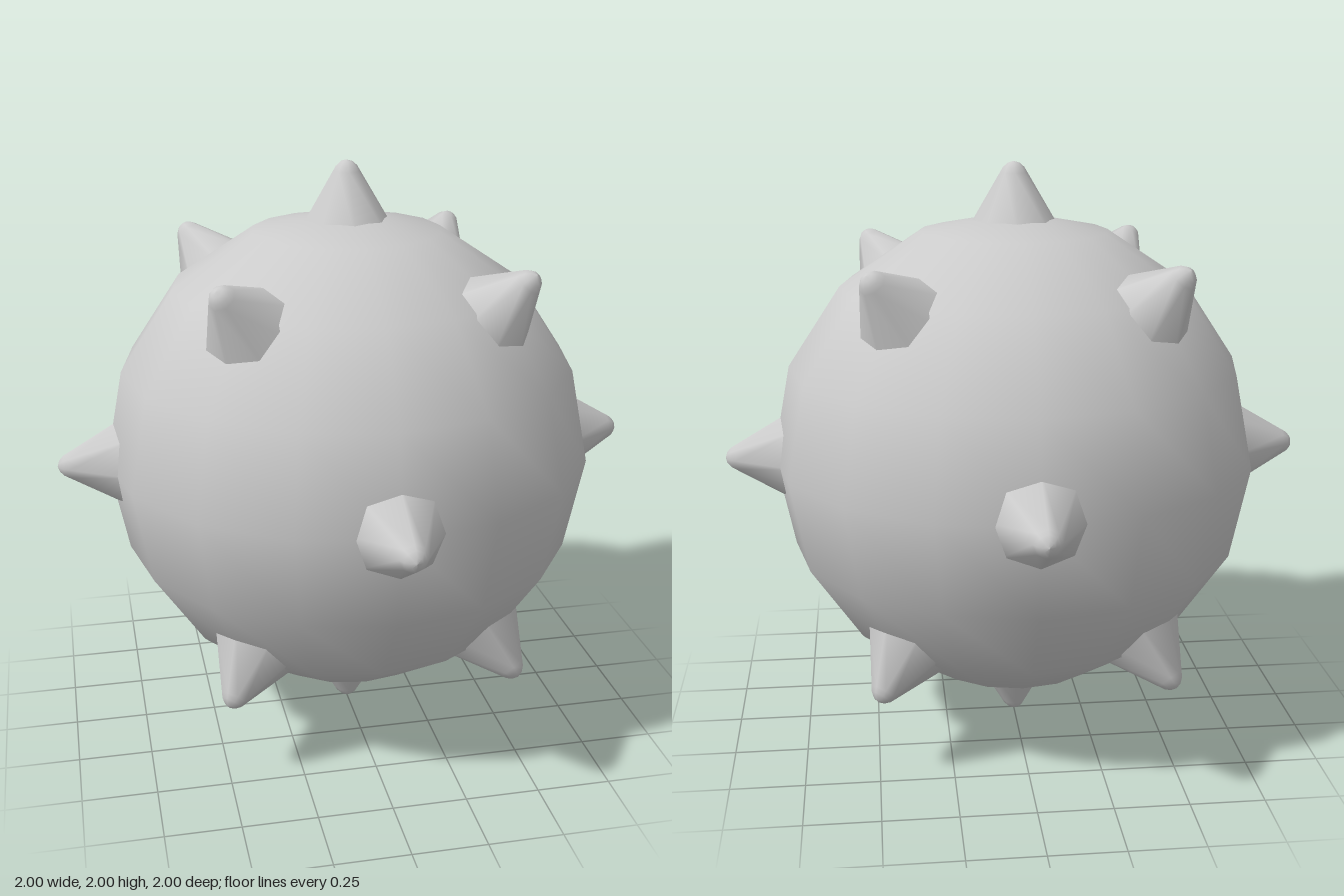
import * as THREE from 'three';

export function createModel() {
  const model = new THREE.Group();
  const material = new THREE.MeshStandardMaterial({ color: 0xcccccc });

  // Round body, low in segments but smooth shaded
  const body = new THREE.Mesh(new THREE.SphereGeometry(0.834, 16, 8), material);
  body.name = 'body';
  model.add(body);

  // Eight-sided spike with a rounded tip, rooted inside the body
  const profile = [
    [0.172, 0.75], [0.046, 0.963], [0.036, 0.98], [0.02, 0.994], [0, 1],
  ].map(([r, y]) => new THREE.Vector2(r, y));
  const spikeGeometry = new THREE.LatheGeometry(profile, 8);

  // tilt is measured from straight up, turn goes around the vertical axis
  function addSpike(name, tilt, turn) {
    const spike = new THREE.Mesh(spikeGeometry, material);
    spike.name = name;
    spike.rotation.set(tilt, turn, 0, 'YXZ');
    model.add(spike);
  }

  addSpike('topSpike', 0, 0);
  addSpike('bottomSpike', Math.PI, 0);
  for (let i = 0; i < 4; i++) {
    const turn = (i * Math.PI) / 2;
    addSpike('sideSpike', Math.PI / 2, turn);
    addSpike('upperSpike', Math.PI / 4, turn + Math.PI / 4);
    addSpike('lowerSpike', (3 * Math.PI) / 4, turn + Math.PI / 4);
  }

  // Stand the lowest spike on the ground
  model.children.forEach((part) => { part.position.y = 1; });
  return model;
}
